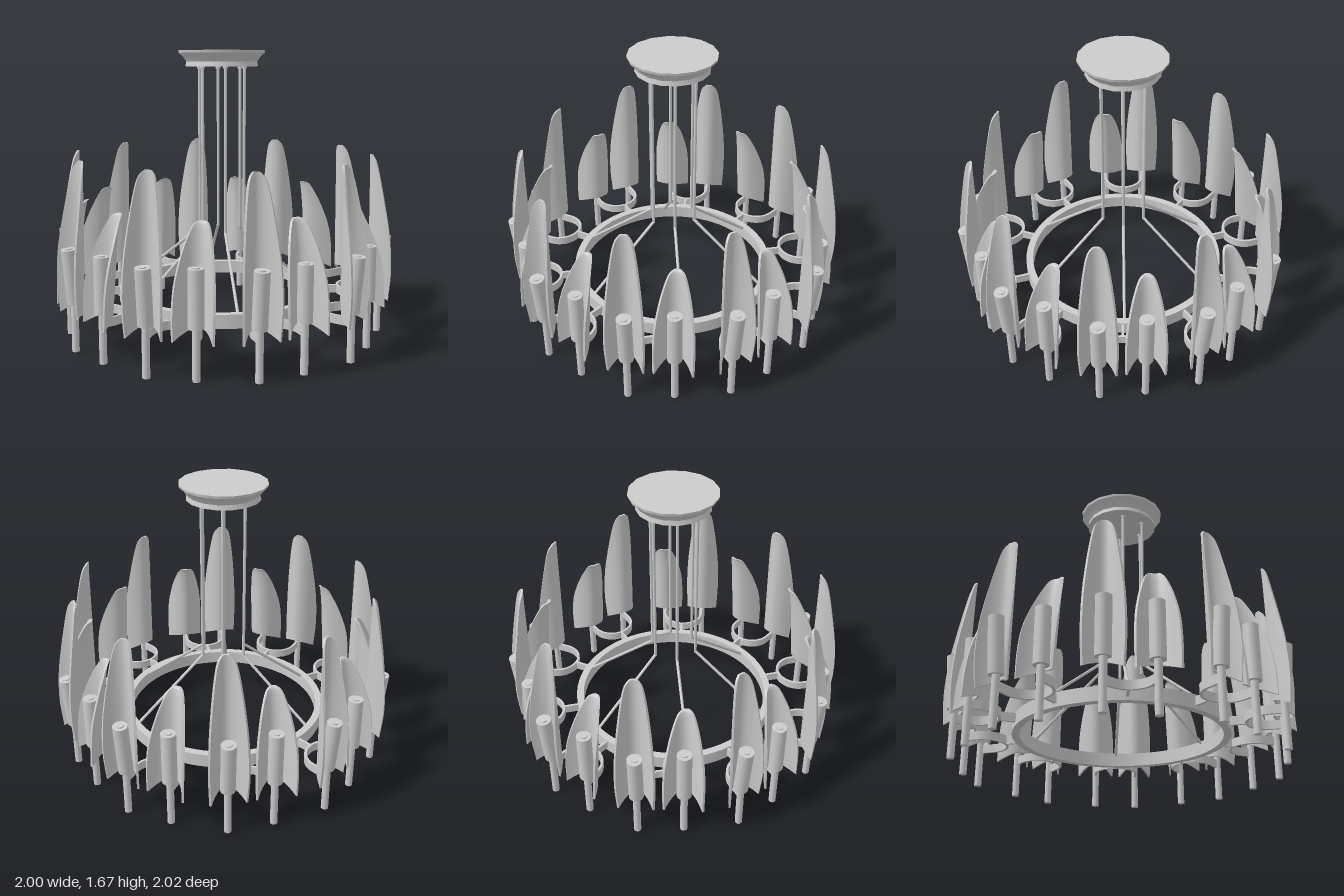
import * as THREE from 'three';

const material = new THREE.MeshStandardMaterial({ color: 0xcccccc });

function add(parent, name, geometry, x = 0, y = 0, z = 0) {
  const mesh = new THREE.Mesh(geometry, material);
  mesh.name = name;
  mesh.position.set(x, y, z);
  parent.add(mesh);
  return mesh;
}

const lathe = (points, sides) =>
  new THREE.LatheGeometry(points.map(([r, y]) => new THREE.Vector2(r, y)), sides);

// Straight round bar between two points
function addRod(parent, name, a, b, radius) {
  const dir = b.clone().sub(a);
  const mesh = add(parent, name, new THREE.CylinderGeometry(radius, radius, dir.length(), 10));
  mesh.position.copy(a).add(b).multiplyScalar(0.5);
  mesh.quaternion.setFromUnitVectors(new THREE.Vector3(0, 1, 0), dir.normalize());
}

// Curved leaf: a box bent into a trough, with half-width following a profile
function petalGeometry(profile, lean) {
  const curve = new THREE.SplineCurve(profile.map(([w, y]) => new THREE.Vector2(w, y)));
  const geometry = new THREE.BoxGeometry(1, 1, 1, 16, 28, 1);
  const p = geometry.attributes.position;
  const bend = 9;
  for (let i = 0; i < p.count; i++) {
    const u = p.getX(i) * 2, v = p.getY(i) + 0.5, t = p.getZ(i) * 0.012;
    const c = curve.getPoint(v);
    const x = u * c.x;
    const slope = 2 * bend * x, len = Math.hypot(slope, 1);
    // lower corners hang down as two tips
    const droop = 0.055 * u * u * Math.pow(1 - v, 4);
    p.setXYZ(i, x - (t * slope) / len, c.y - droop, bend * x * x - lean * v + t / len);
  }
  geometry.computeVertexNormals();
  return geometry;
}

// U-shaped flat band that carries the two lamps of a unit
function armGeometry() {
  const ro = 0.138, ri = 0.123, c = 0.84;
  const s = new THREE.Shape();
  s.moveTo(-ro, 0.92);
  s.lineTo(-ro, c);
  s.absarc(0, c, ro, Math.PI, 2 * Math.PI, false);
  s.lineTo(ro, 0.9);
  s.lineTo(ri, 0.9);
  s.lineTo(ri, c);
  s.absarc(0, c, ri, 2 * Math.PI, Math.PI, true);
  s.lineTo(-ri, 0.92);
  s.closePath();
  return new THREE.ExtrudeGeometry(s, { depth: 0.05, bevelEnabled: false, curveSegments: 24 })
    .rotateX(Math.PI / 2).translate(0, 0.25, 0);
}

export function createModel() {
  const model = new THREE.Group();
  model.name = 'chandelier';

  // Ceiling canopy: flat disc, concave flank, small lower lip
  add(model, 'canopy', lathe([[0, 1.67], [0.255, 1.67], [0.255, 1.67], [0.252, 1.655], [0.252, 1.655],
    [0.226, 1.632], [0.208, 1.605], [0.208, 1.605], [0.214, 1.578], [0.214, 1.578], [0, 1.578]].reverse(), 16));

  // Main ring
  add(model, 'ring', lathe([[0.577, 0.18], [0.62, 0.18], [0.62, 0.18], [0.62, 0.26], [0.62, 0.26],
    [0.577, 0.26], [0.577, 0.26], [0.577, 0.18]], 72));

  // Hanging rods that splay out to the ring
  for (let i = 0; i < 6; i++) {
    const a = (i * Math.PI) / 3;
    const at = (r, y) => new THREE.Vector3(r * Math.cos(a), y, r * Math.sin(a));
    addRod(model, 'hangingRod', at(0.142, 0.6), at(0.142, 1.6), 0.009);
    addRod(model, 'spoke', at(0.142, 0.605), at(0.595, 0.24), 0.009);
    addRod(model, 'rodFitting', at(0.142, 1.565), at(0.142, 1.58), 0.015);
  }

  // Parts shared by every lamp unit
  const arm = armGeometry();
  const stem = new THREE.BoxGeometry(0.016, 0.05, 0.1);
  const tube = new THREE.CylinderGeometry(0.021, 0.021, 0.285, 16);
  const sleeve = new THREE.CylinderGeometry(0.042, 0.042, 0.31, 20).translate(0, 0.155, 0);
  const tip = new THREE.CylinderGeometry(0.021, 0.021, 0.006, 16).translate(0, 0.313, 0);
  const tall = petalGeometry([[0.1, 0.27], [0.107, 0.42], [0.102, 0.6], [0.086, 0.78],
    [0.064, 0.95], [0.045, 1.035], [0.018, 1.07]], 0.012);
  const short = petalGeometry([[0.11, 0.27], [0.112, 0.39], [0.106, 0.52], [0.085, 0.65],
    [0.062, 0.74], [0.04, 0.795], [0.015, 0.81]], 0.07);

  function addLamp(unit, kind, petal, x, z, tilt) {
    const lamp = new THREE.Group();
    lamp.name = kind + 'Lamp';
    lamp.position.set(x, 0, z);
    unit.add(lamp);
    add(lamp, 'tube', tube, 0, 0.1425, 0);
    add(lamp, 'sleeve', sleeve, 0, 0.28, 0).rotation.x = tilt;
    add(lamp, 'sleeveTip', tip, 0, 0.28, 0).rotation.x = tilt;
    add(lamp, kind + 'Petal', petal, 0, 0, -0.05);
  }

  // Ten units around the ring, each with a tall and a short petal
  for (let i = 0; i < 10; i++) {
    const unit = new THREE.Group();
    unit.name = 'lampUnit';
    unit.rotation.y = THREE.MathUtils.degToRad(5 + 36 * i);
    model.add(unit);
    add(unit, 'stem', stem, 0, 0.225, 0.66);
    add(unit, 'arm', arm);
    addLamp(unit, 'tall', tall, -0.131, 0.932, 0.09);
    addLamp(unit, 'short', short, 0.131, 0.905, 0);
  }
  return model;
}
